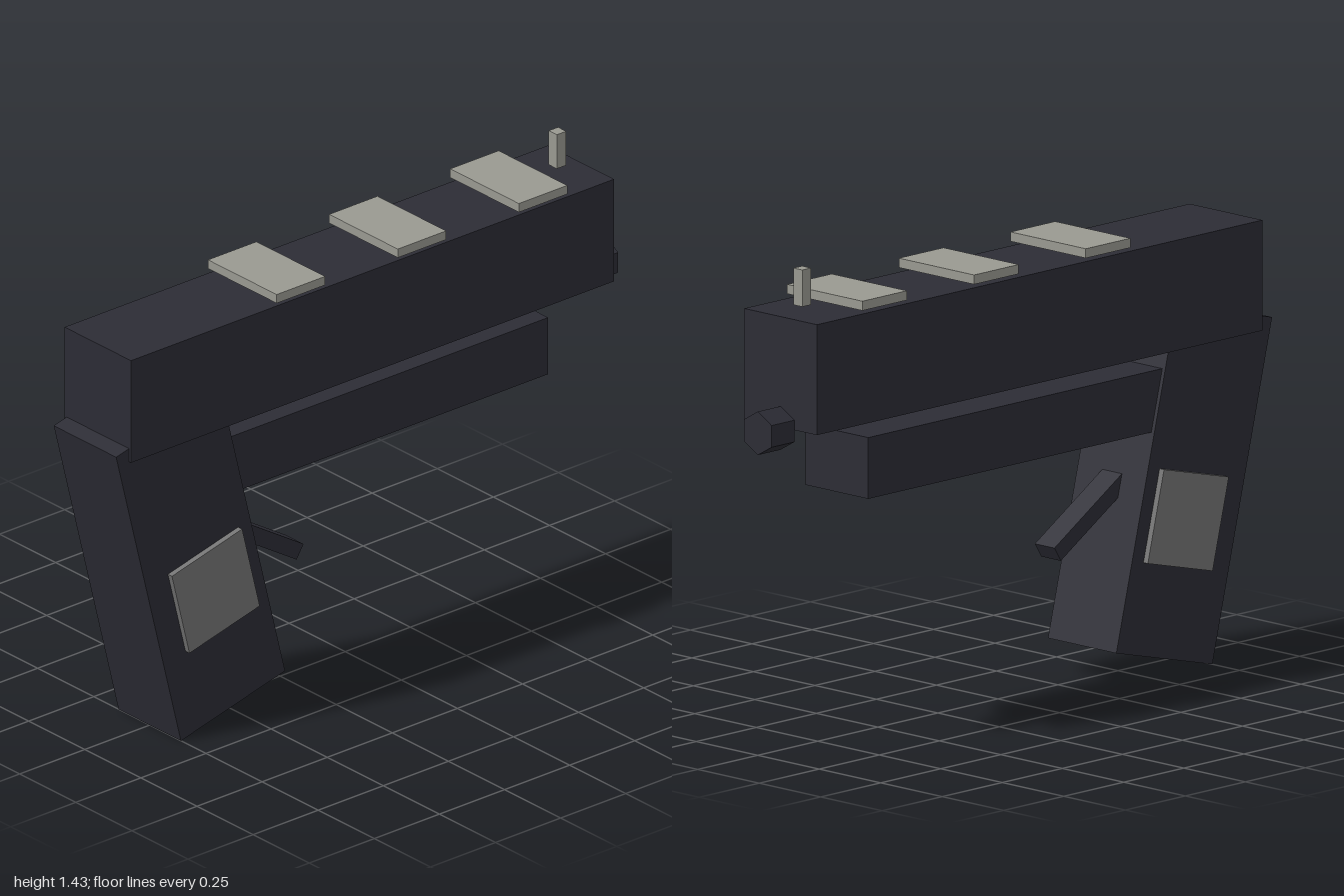
import * as THREE from 'three';

export function createModel() {
  const group = new THREE.Group();
  const dark = new THREE.MeshStandardMaterial({ name: 'dark body', color: 0x2c2c35 });
  const pale = new THREE.MeshStandardMaterial({ name: 'pale grey', color: 0x999991 });
  const grey = new THREE.MeshStandardMaterial({ name: 'panel grey', color: 0x747474 });

  function add(name, geometry, material, x, y, z, tilt = 0) {
    const mesh = new THREE.Mesh(geometry, material);
    mesh.name = name;
    mesh.position.set(x, y, z);
    mesh.rotation.x = tilt;
    group.add(mesh);
    return mesh;
  }
  const box = (w, h, d) => new THREE.BoxGeometry(w, h, d);

  // Main body and the rail slung beneath it
  add('upperBody', box(0.296, 0.33, 1.855), dark, 0, 1.135, 0.0225);
  add('lowerRail', box(0.254, 0.183, 1.27), dark, 0, 0.828, -0.035);

  // Slanted grip with a square panel on each side
  const slant = 0.245;
  add('grip', box(0.278, 1.026, 0.412), dark, 0, 0.5525, 0.675, slant);
  for (const side of [1, -1]) {
    add(side > 0 ? 'leftGripPanel' : 'rightGripPanel',
      box(0.03, 0.278, 0.278), grey, side * 0.142, 0.458, 0.632, slant);
  }

  // Trigger bar, sloping down and away from the grip
  add('trigger', box(0.08, 0.05, 0.42), dark, 0, 0.519, 0.386, -0.557);

  // Six-sided muzzle
  const muzzle = new THREE.CylinderGeometry(0.065, 0.065, 0.095, 6).toNonIndexed();
  muzzle.computeVertexNormals();
  add('muzzle', muzzle, dark, 0, 0.967, -0.9525, Math.PI / 2);

  // Three plates across the top, and the sight post
  for (const z of [0.302, -0.163, -0.628]) {
    add('topPlate', box(0.306, 0.028, 0.186), pale, 0, 1.326, z);
  }
  add('sightPost', box(0.036, 0.11, 0.036), pale, 0, 1.375, -0.815);

  return group;
}
